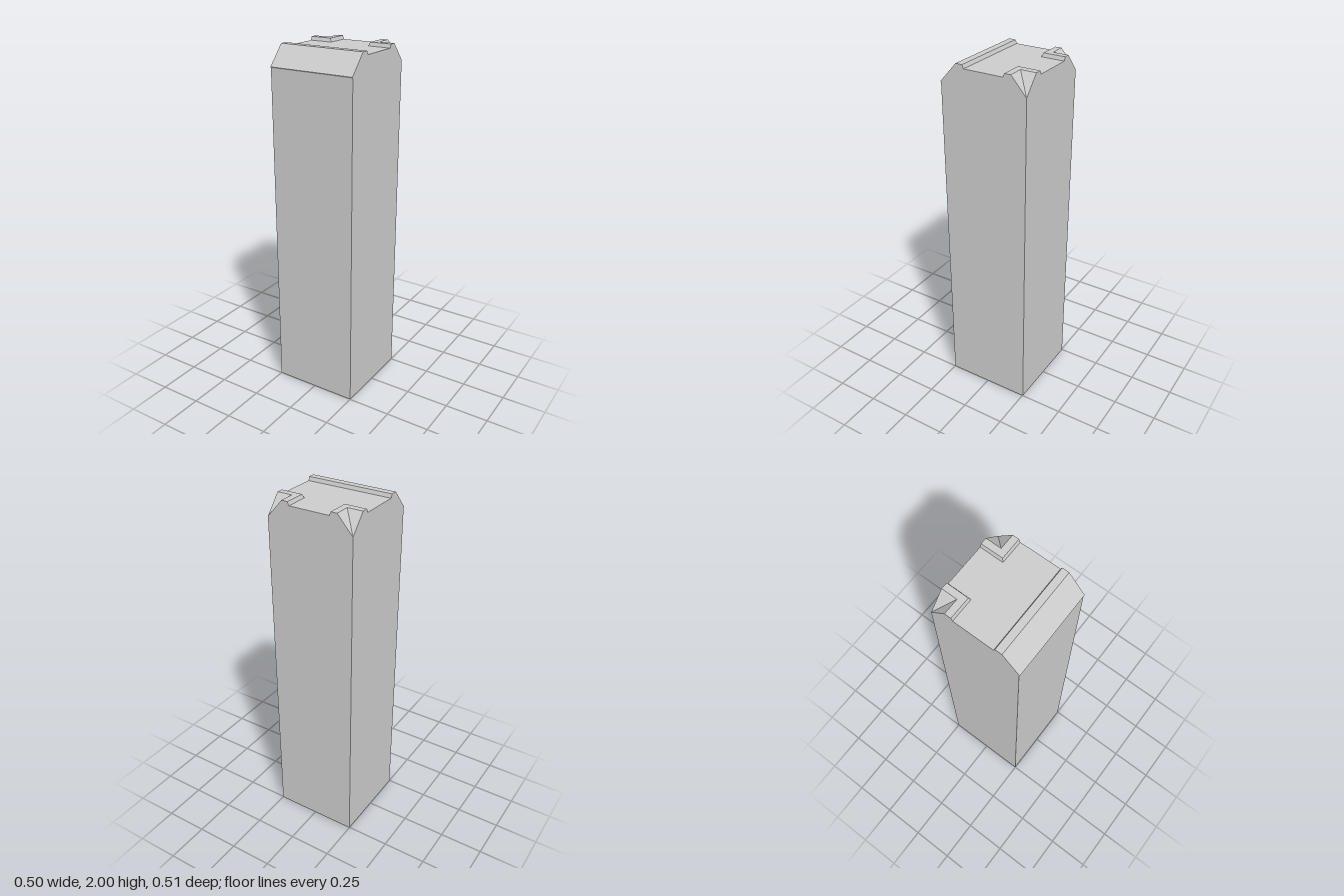
import * as THREE from 'three';

const HALF = 0.25;      // half width
const BACK = -0.253;    // rear face
const CORNER = 0.0885;  // side of each rear corner notch
const FLOOR = 1.98;     // sunken top surface
const TOP = 2;          // top of the raised rims

const material = new THREE.MeshStandardMaterial({ color: 0xcccccc, flatShading: true });

function addMesh(parent, geometry, name) {
  const flat = geometry.index ? geometry.toNonIndexed() : geometry;
  flat.computeVertexNormals();
  const mesh = new THREE.Mesh(flat, material);
  mesh.name = name;
  parent.add(mesh);
  return mesh;
}

const shapeOf = (points) => new THREE.Shape(points.map(([x, y]) => new THREE.Vector2(x, y)));

// Rear corner, local origin on the outer vertical edge, reaching to -x and +z
function makeCorner(name) {
  const group = new THREE.Group();
  group.name = name;

  // Column whose top folds down along a valley to the outer corner
  const column = new THREE.BoxGeometry(CORNER, TOP, CORNER);
  column.translate(-CORNER / 2, TOP / 2, CORNER / 2);
  const p = column.attributes.position;
  for (let i = 0; i < p.count; i++) {
    const outer = Math.abs(p.getX(i)) < 1e-4 && Math.abs(p.getZ(i)) < 1e-4;
    if (outer && p.getY(i) > 1) p.setY(i, 1.9);
  }
  addMesh(group, column, 'cornerColumn');

  // L-shaped rim around the column, its inner walls flaring out at the foot
  const e = 0.1245, flare = 0.008;
  const rim = new THREE.ExtrudeGeometry(
    shapeOf([[-e, -e], [0, -e], [0, -CORNER], [-CORNER, -CORNER], [-CORNER, 0], [-e, 0]]),
    { depth: TOP - FLOOR, bevelEnabled: false }
  );
  const r = rim.attributes.position;
  for (let i = 0; i < r.count; i++) {
    if (r.getZ(i) > 1e-4) continue;
    if (r.getX(i) < -e + 1e-4) r.setX(i, -e - flare);
    if (r.getY(i) < -e + 1e-4) r.setY(i, -e - flare);
  }
  rim.rotateX(-Math.PI / 2).translate(0, FLOOR, 0);
  addMesh(group, rim, 'cornerRim');
  return group;
}

export function createModel() {
  const model = new THREE.Group();
  model.name = 'pillar';

  // Main shaft: side profile (z, y) with the front lip, slope and rim
  const inner = BACK + CORNER;
  const shaft = new THREE.ExtrudeGeometry(
    shapeOf([
      [inner, 0], [0.249, 0], [0.249, 1.885], [0.2535, 1.892], [0.245, 1.9],
      [0.155, TOP], [0.116, TOP], [0.108, FLOOR], [inner, FLOOR],
    ]),
    { depth: HALF * 2, bevelEnabled: false }
  );
  shaft.rotateY(-Math.PI / 2).translate(HALF, 0, 0);
  addMesh(model, shaft, 'shaft');

  // Rear of the shaft between the two corners
  const rear = new THREE.BoxGeometry((HALF - CORNER) * 2, FLOOR, CORNER);
  rear.translate(0, FLOOR / 2, BACK + CORNER / 2);
  addMesh(model, rear, 'rearShaft');

  // Rear corners: the second is the first turned a quarter
  const left = makeCorner('leftCorner');
  left.position.set(HALF, 0, BACK);
  const right = makeCorner('rightCorner');
  right.position.set(-HALF, 0, BACK);
  right.rotation.y = Math.PI / 2;
  model.add(left, right);

  return model;
}
